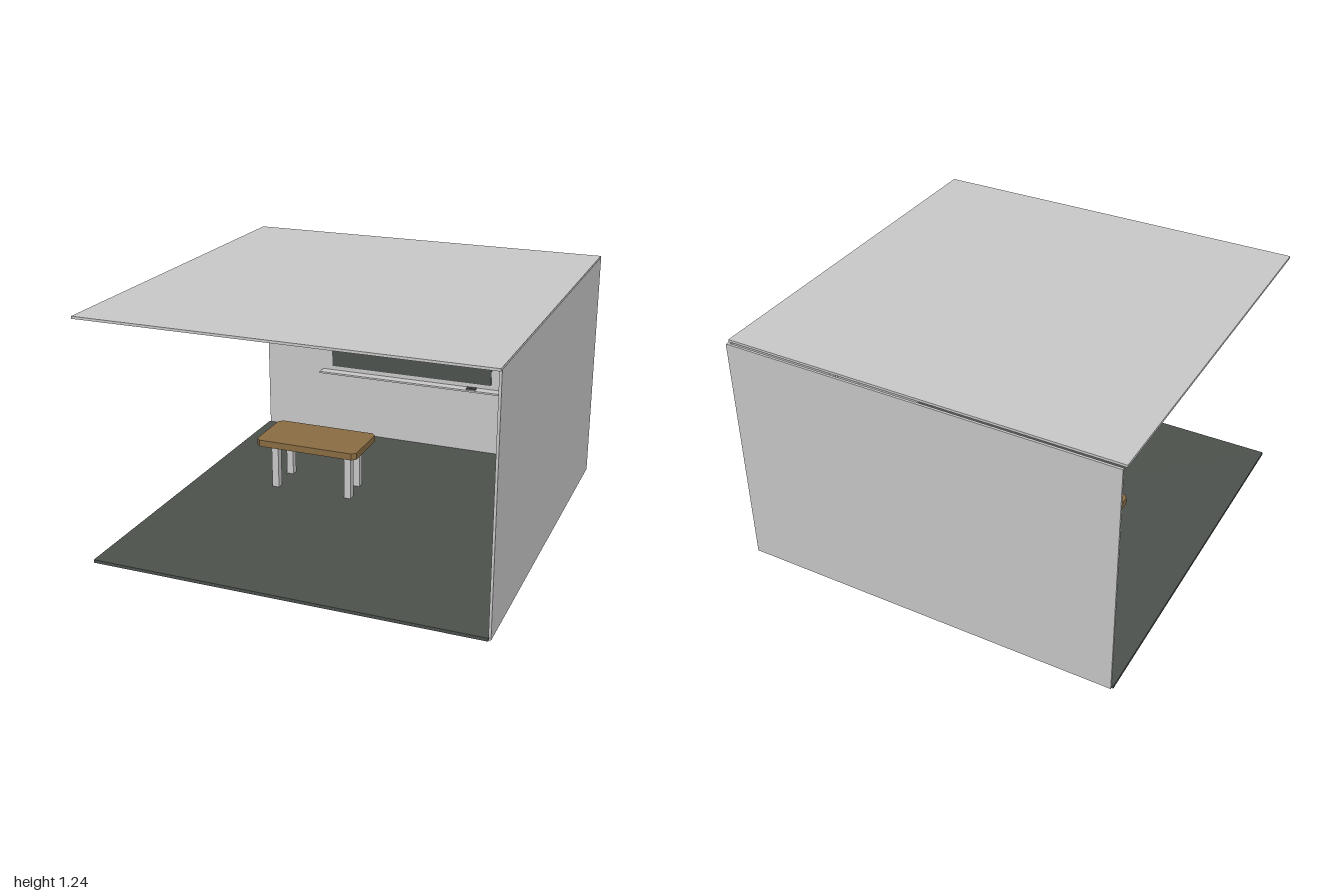
import * as THREE from 'three';

const plaster = new THREE.MeshStandardMaterial({ name: 'pale grey plaster', color: 0xcacaca });
const slate = new THREE.MeshStandardMaterial({ name: 'dark slate', color: 0x4d524d });
const wood = new THREE.MeshStandardMaterial({ name: 'brown wood', color: 0x8a6d43 });

// Box given by its extents along each axis
function box(parent, name, material, [x0, x1], [y0, y1], [z0, z1]) {
  const mesh = new THREE.Mesh(new THREE.BoxGeometry(x1 - x0, y1 - y0, z1 - z0), material);
  mesh.position.set((x0 + x1) / 2, (y0 + y1) / 2, (z0 + z1) / 2);
  mesh.name = name;
  parent.add(mesh);
  return mesh;
}

// Table top: rectangle with cut corners, extruded upward
function makeTableTop(w, d, h, c) {
  const x = w / 2, y = d / 2;
  const outline = new THREE.Shape([
    [-x + c, -y], [x - c, -y], [x, -y + c], [x, y - c],
    [x - c, y], [-x + c, y], [-x, y - c], [-x, -y + c],
  ].map(([a, b]) => new THREE.Vector2(a, b)));
  const geometry = new THREE.ExtrudeGeometry(outline, { depth: h, bevelEnabled: false });
  geometry.rotateX(-Math.PI / 2);
  const top = new THREE.Mesh(geometry, wood);
  top.name = 'tableTop';
  return top;
}

export function createModel() {
  const room = new THREE.Group();
  room.name = 'classroom';

  // Room shell, open at the front and on one side
  box(room, 'floor', slate, [-0.985, 0.975], [0, 0.016], [-0.99, 0.983]);
  box(room, 'ceiling', plaster, [-0.987, 0.987], [1.225, 1.237], [-0.978, 1]);
  box(room, 'backWall', plaster, [-0.977, 0.977], [0.003, 1.226], [-1, -0.988]);
  box(room, 'leftWall', plaster, [0.973, 0.985], [0.001, 1.225], [-1, 0.973]);

  // Board with the ledge and eraser below it
  box(room, 'board', slate, [-0.56, 0.415], [0.43, 0.985], [-0.989, -0.982]);
  box(room, 'boardLedge', plaster, [-0.62, 0.49], [0.395, 0.405], [-0.989, -0.93]);
  box(room, 'eraser', slate, [0.28, 0.335], [0.405, 0.413], [-0.97, -0.945]);

  // Panel hanging on the side wall, in two staggered layers
  const panel = new THREE.Group();
  panel.name = 'wallPanel';
  box(panel, 'panelBack', plaster, [0.94, 0.957], [0.516, 0.936], [-0.32, 0.32]);
  box(panel, 'panelFront', plaster, [0.926, 0.94], [0.522, 0.942], [-0.3, 0.3]);
  room.add(panel);

  // Table
  const table = new THREE.Group();
  table.name = 'table';
  const top = makeTableTop(0.573, 0.31, 0.036, 0.022);
  top.position.set(-0.333, 0.264, -0.21);
  table.add(top);
  for (const [x, z] of [[-0.533, -0.13], [-0.533, -0.32], [-0.114, -0.13], [-0.128, -0.295]]) {
    box(table, 'tableLeg', plaster, [x - 0.019, x + 0.019], [0.016, 0.264], [z - 0.02, z + 0.02]);
  }
  room.add(table);
  return room;
}
